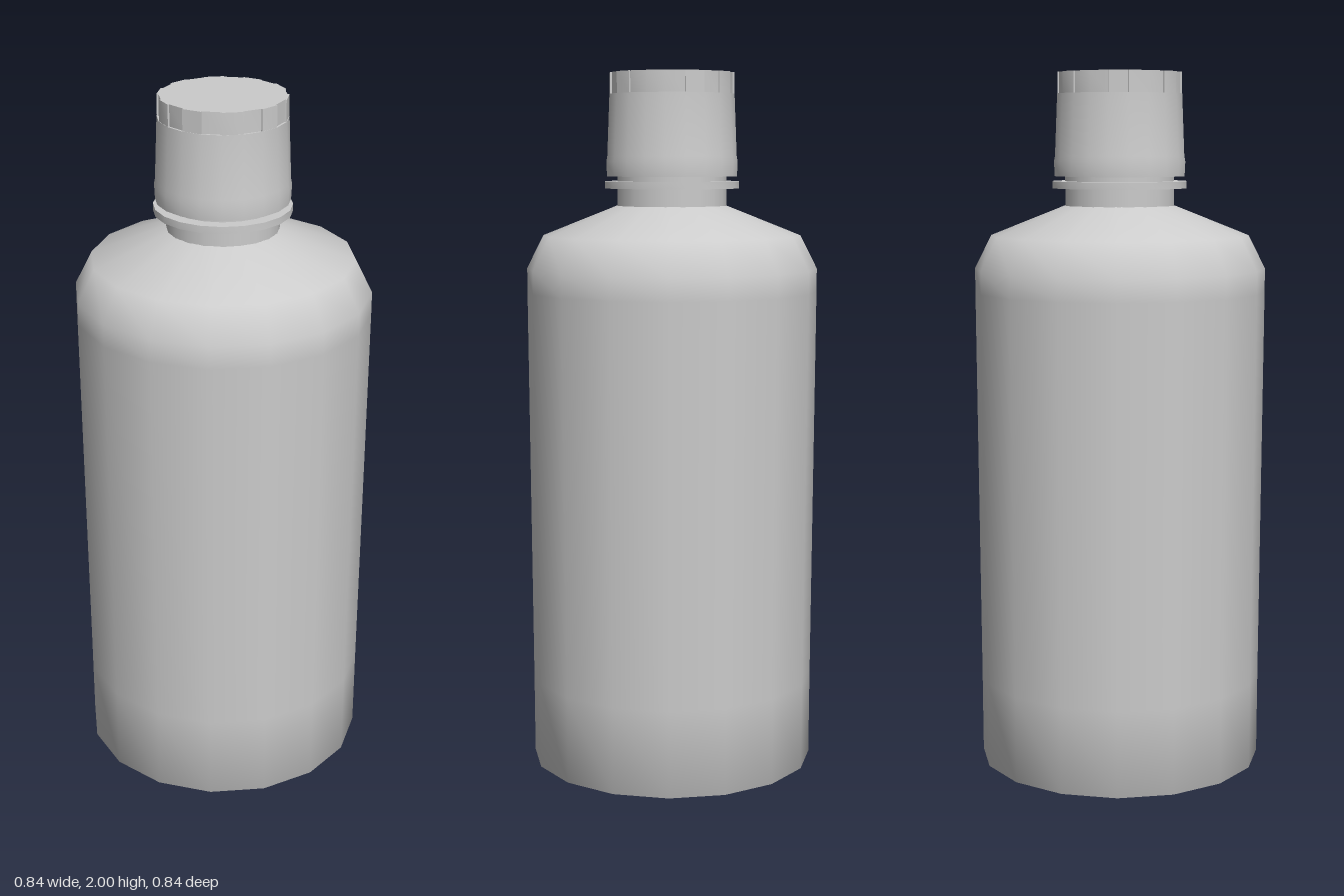
import * as THREE from 'three';
import { toCreasedNormals } from 'three/addons/utils/BufferGeometryUtils.js';

const material = new THREE.MeshStandardMaterial({ color: 0xcccccc });
const TWIST = 0.024; // small turn of the facets about the axis

function addMesh(group, name, geometry) {
  const mesh = new THREE.Mesh(geometry, material);
  mesh.name = name;
  group.add(mesh);
  return mesh;
}

// Turned part from [radius, height] pairs, listed bottom to top
function turned(profile, sides) {
  const points = profile.map(([r, y]) => new THREE.Vector2(r, y));
  return new THREE.LatheGeometry(points, sides, TWIST);
}

// Ring of shallow grip teeth closing the top of the cap
function gripBand(teeth, outer, inner, height) {
  const points = [];
  const step = (Math.PI * 2) / teeth;
  for (let i = 0; i < teeth; i++) {
    const a = i * step;
    const b = a + step / 2;
    for (const [r, t] of [[inner, a], [outer, a], [outer, b], [inner, b]]) {
      points.push(new THREE.Vector2(r * Math.cos(t), r * Math.sin(t)));
    }
  }
  const band = new THREE.ExtrudeGeometry(new THREE.Shape(points), { depth: height, bevelEnabled: false });
  return toCreasedNormals(band.rotateX(-Math.PI / 2), 0.5);
}

export function createModel() {
  const bottle = new THREE.Group();
  bottle.name = 'bottle';

  // Body: softly shaded wall, shoulder and bottom rim
  addMesh(bottle, 'body', turned([
    [0.275, 0.012], [0.33, 0], [0.41, 0], [0.411, 0.25], [0.418, 1.38],
    [0.418, 1.445], [0.37, 1.54], [0.157, 1.625],
  ], 16));
  addMesh(bottle, 'baseDisc', turned([[0, 0.012], [0.275, 0.012]], 16));

  // Neck with its thin collar
  addMesh(bottle, 'neck', turned([[0.157, 1.615], [0.157, 1.72]], 20));
  addMesh(bottle, 'collar', toCreasedNormals(turned([
    [0.15, 1.674], [0.193, 1.674], [0.193, 1.694], [0.15, 1.694],
  ], 20), 0.6));

  // Cap: skirt with a slight bead at the foot, then the grip band
  const cap = new THREE.Group();
  cap.name = 'cap';
  bottle.add(cap);
  addMesh(cap, 'capSkirt', toCreasedNormals(turned([
    [0.15, 1.708], [0.187, 1.708], [0.189, 1.75], [0.186, 1.765],
    [0.179, 1.94], [0, 1.94],
  ], 20), 0.6));
  const band = addMesh(cap, 'gripBand', gripBand(10, 0.178, 0.173, 0.06));
  band.position.y = 1.94;
  band.rotation.y = TWIST;

  return bottle;
}
